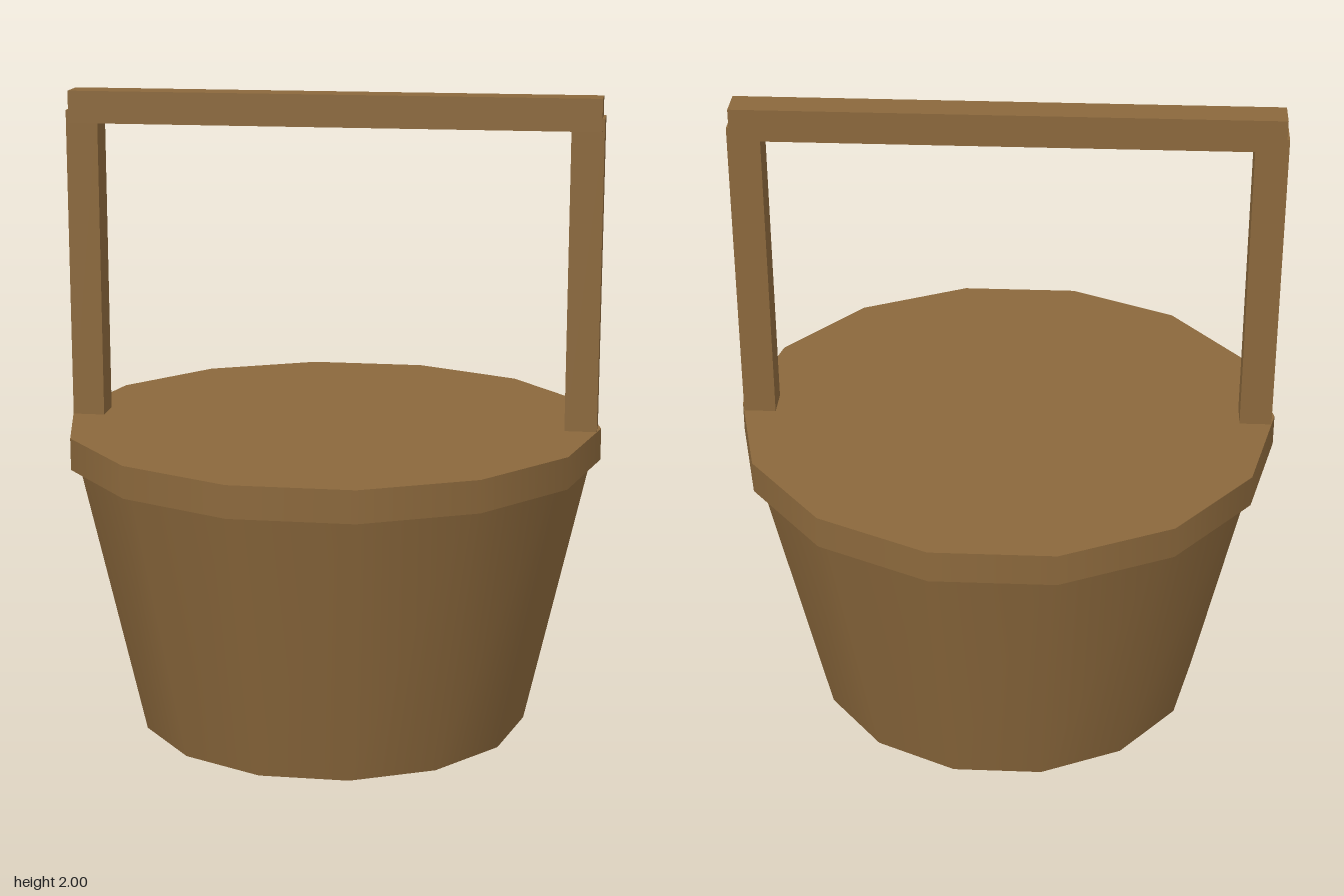
import * as THREE from 'three';

const SIDES = 14;

export function createModel() {
  const model = new THREE.Group();
  model.name = 'bucket';
  const wood = new THREE.MeshStandardMaterial({ color: 0x8b683c });

  const add = (name, geometry, x, y, z = 0) => {
    const mesh = new THREE.Mesh(geometry, wood);
    mesh.name = name;
    mesh.position.set(x, y, z);
    model.add(mesh);
  };

  // Closed 14-sided drum with corners on the x axis
  const drum = (name, rTop, rBottom, y0, y1) =>
    add(name, new THREE.CylinderGeometry(rTop, rBottom, y1 - y0, SIDES, 1, false, Math.PI / 2), 0, (y0 + y1) / 2);

  // Tapered tub and the lid that overhangs it
  drum('tub', 0.833, 0.62, 0, 0.95);
  drum('lid', 0.845, 0.845, 0.87, 0.97);

  // Square handle: two posts and a crossbar, slightly narrower than the posts
  for (const side of [1, -1]) {
    add(side > 0 ? 'leftHandlePost' : 'rightHandlePost', new THREE.BoxGeometry(0.1, 1.0, 0.1), side * 0.783, 1.44);
  }
  add('handleBar', new THREE.BoxGeometry(1.65, 0.1, 0.104), 0, 1.95);

  return model;
}
